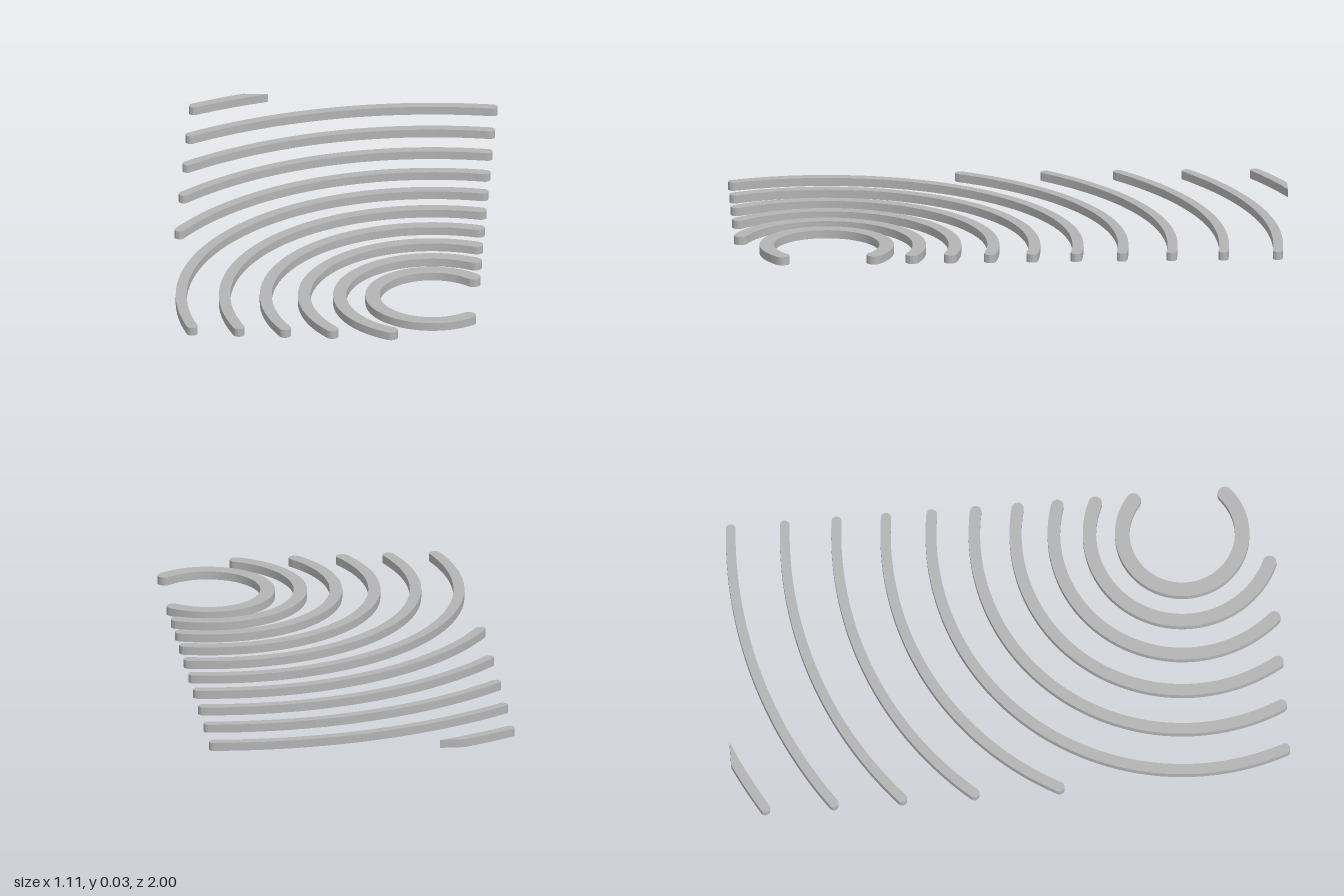
import * as THREE from 'three';
import { toCreasedNormals } from 'three/addons/utils/BufferGeometryUtils.js';

const CX = 0.39, CY = -0.672; // shared centre of the rings (plan x, -z)
const HEIGHT = 0.03;
const RIGHT = 0.138, LEFT = 0.928, FRONT = 0.303, BACK = 1.672; // limits from the centre

// [middle radius, band width] of each ring, from the inside out
const RINGS = [
  [0.214, 0.052], [0.331, 0.048], [0.458, 0.045], [0.595, 0.043],
  [0.742, 0.041], [0.897, 0.039], [1.059, 0.037], [1.235, 0.036],
  [1.419, 0.035], [1.612, 0.035], [1.818, 0.035],
];

// Curved band with a round cap at its end, and at its start unless it is cut straight
function bandShape(r, w, startOuter, startInner, end, cutStart) {
  const shape = new THREE.Shape();
  const h = w / 2;
  shape.absarc(CX, CY, r + h, startOuter, end, false);
  shape.absarc(CX + r * Math.cos(end), CY + r * Math.sin(end), h, end, end + Math.PI, false);
  shape.absarc(CX, CY, r - h, end, startInner, true);
  if (!cutStart) {
    const s = startOuter;
    shape.absarc(CX + r * Math.cos(s), CY + r * Math.sin(s), h, s + Math.PI, s + 2 * Math.PI, false);
  }
  shape.closePath();
  return shape;
}

export function createModel() {
  const group = new THREE.Group();
  group.name = 'concentricArcs';
  const grey = new THREE.MeshStandardMaterial({ color: 0xb4b4b4 });
  grey.name = 'grey';

  RINGS.forEach(([r, w], i) => {
    const cut = r - w / 2 > BACK; // outermost ring is sliced off by the back edge
    let startOuter = Math.acos(RIGHT / r), startInner = startOuter, end;
    if (i === 0) end = 2 * Math.PI - startOuter;
    else if (r < LEFT) end = Math.PI + Math.asin(FRONT / r);
    else end = Math.acos(-LEFT / r);
    if (cut) {
      startOuter = Math.PI - Math.asin(BACK / (r + w / 2));
      startInner = Math.PI - Math.asin(BACK / (r - w / 2));
    }
    const geometry = new THREE.ExtrudeGeometry(
      bandShape(r, w, startOuter, startInner, end, cut),
      { depth: HEIGHT, bevelEnabled: false, curveSegments: 48 },
    );
    geometry.rotateX(-Math.PI / 2);
    const mesh = new THREE.Mesh(toCreasedNormals(geometry, 0.5), grey);
    mesh.name = cut ? 'clippedOuterArc' : `arc${i + 1}`;
    group.add(mesh);
  });
  return group;
}
